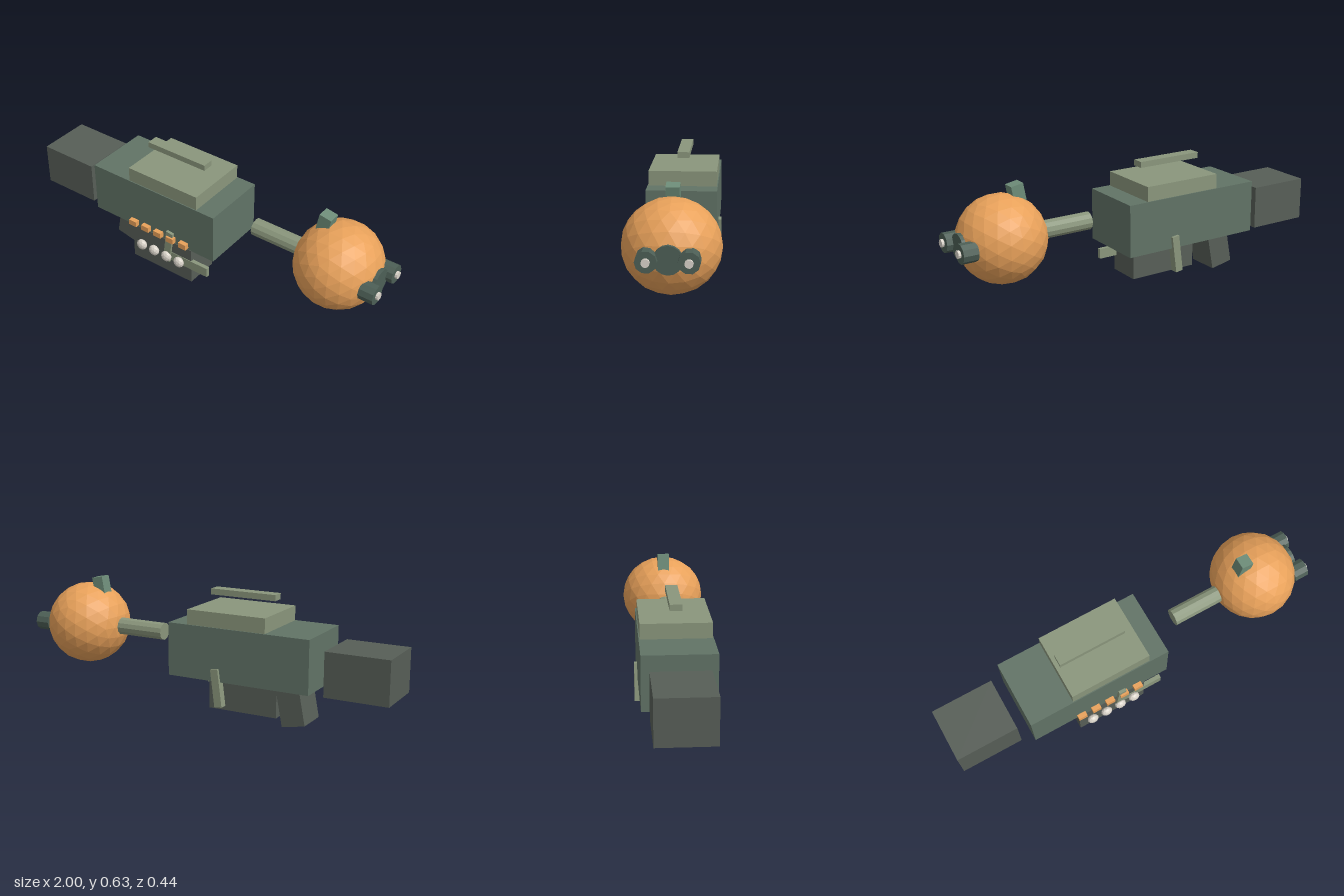
import * as THREE from 'three';

const mat = (color) => new THREE.MeshStandardMaterial({ color, flatShading: true });

export function createModel() {
  const model = new THREE.Group();
  const green = mat(0x617366), dark = mat(0x575e57), olive = mat(0x8a967c);
  const orange = mat(0xe8a15a), mint = mat(0x6d8c78), slate = mat(0x4d5f56), white = mat(0xdbd5cb);

  const add = (name, geometry, material, x, y, z) => {
    const mesh = new THREE.Mesh(geometry, material);
    mesh.name = name;
    mesh.position.set(x, y, z);
    model.add(mesh);
    return mesh;
  };
  // Box given by its limits on each axis
  const box = (name, material, [x0, x1], [y0, y1], [z0, z1]) =>
    add(name, new THREE.BoxGeometry(x1 - x0, y1 - y0, z1 - z0), material,
      (x0 + x1) / 2, (y0 + y1) / 2, (z0 + z1) / 2);
  // Cylinder lying along x from x0 to x1
  const rod = (name, material, r, sides, x0, x1, y, z) => {
    const mesh = add(name, new THREE.CylinderGeometry(r, r, x1 - x0, sides), material, (x0 + x1) / 2, y, z);
    mesh.rotation.z = -Math.PI / 2;
    return mesh;
  };
  const axisY = 0.378;

  // Body, stock and top cover with its floating rail
  box('body', green, [-0.62, 0.135], [0.208, 0.475], [-0.175, 0.175]);
  box('stock', dark, [-1, -0.68], [0.2, 0.42], [-0.138, 0.138]);
  box('topCover', olive, [-0.39, 0.03], [0.47, 0.55], [-0.17, 0.17]);
  box('topRail', olive, [-0.375, -0.025], [0.605, 0.635], [-0.03, 0.03]);

  // Raked grip
  const grip = add('grip', new THREE.BoxGeometry(0.122, 0.25, 0.17), dark, -0.483, 0.136, 0);
  grip.rotation.z = -0.19;

  // Magazine offset to the front, with its arm
  box('magazine', dark, [-0.375, 0], [0.01, 0.21], [0, 0.178]);
  box('magazineArm', olive, [-0.15, 0.1], [0.093, 0.145], [0.16, 0.181]);

  // Tabs and beads along the magazine
  for (let i = 0; i < 5; i++) {
    const x = -0.36 + i * 0.0795;
    box('tab', orange, [x - 0.023, x + 0.023], [0.219, 0.249], [0.17, 0.2]);
  }
  for (let i = 0; i < 4; i++) {
    const bead = add('bead', new THREE.IcosahedronGeometry(0.03, 1), white, -0.307 + i * 0.08, 0.118, 0.195);
    bead.scale.z = 0.7;
  }

  // Tilted lever on both sides
  for (const side of [-1, 1]) {
    const lever = add('lever', new THREE.BoxGeometry(0.04, 0.19, 0.04), olive, -0.14, 0.178, side * 0.17);
    lever.rotation.z = -0.13;
  }

  // Barrel and faceted ball head
  rod('barrel', olive, 0.045, 12, 0.265, 0.56, axisY, 0);
  const ball = add('ballHead', new THREE.IcosahedronGeometry(1, 3), orange, 0.735, axisY, 0);
  ball.scale.set(0.215, 0.2135, 0.222);
  const fin = add('topFin', new THREE.BoxGeometry(0.063, 0.11, 0.062), mint, 0.65, 0.576, 0);
  fin.rotation.z = -0.18;

  // Muzzle plate with twin nozzles
  rod('muzzlePlate', slate, 0.064, 16, 0.9, 0.957, axisY, 0);
  for (const side of [-1, 1]) {
    rod('nozzle', slate, 0.048, 10, 0.912, 0.987, axisY, side * 0.09);
    rod('nozzleTip', white, 0.019, 10, 0.95, 1, axisY, side * 0.09);
  }
  return model;
}
